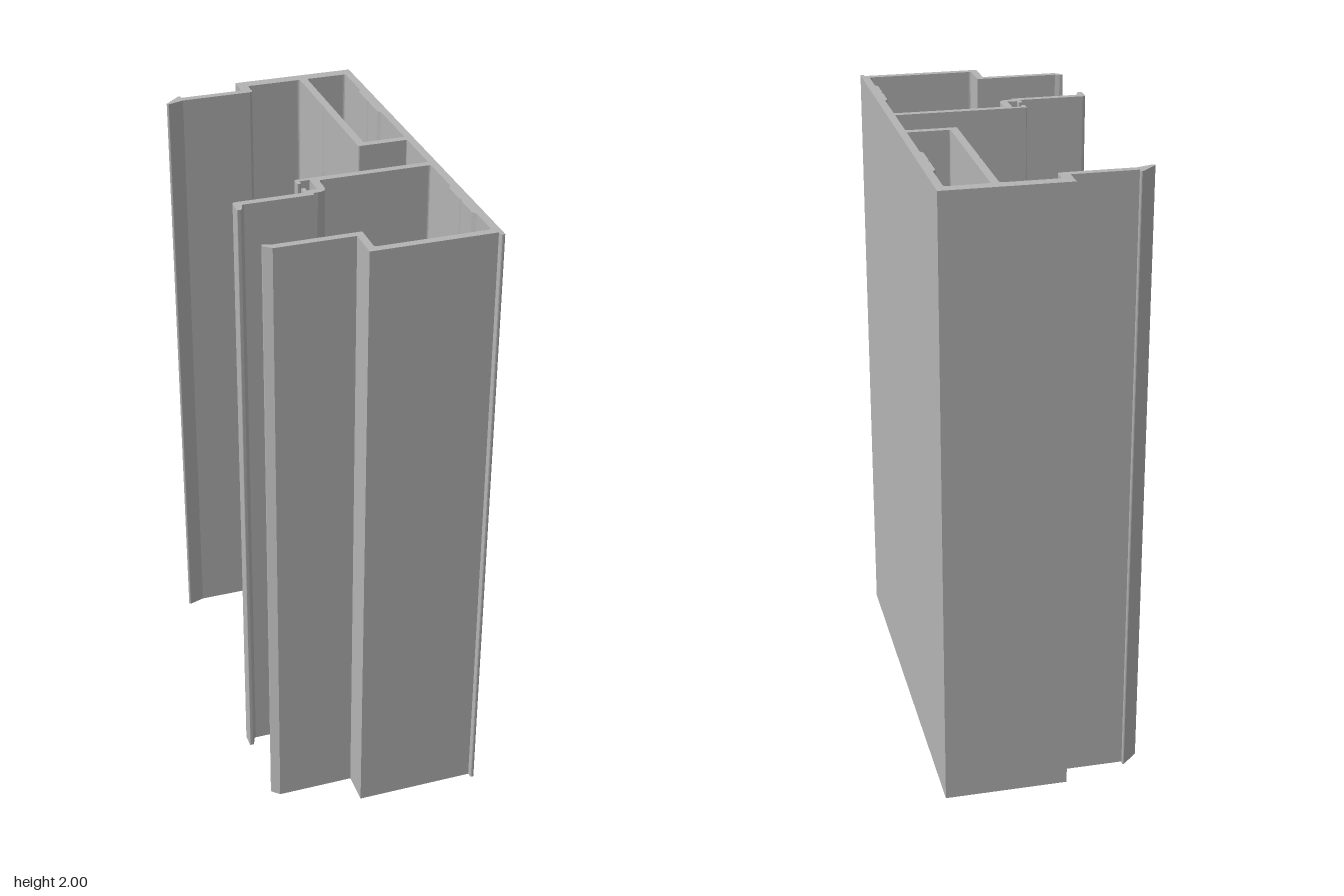
import * as THREE from 'three';

const HEIGHT = 2;

// Traces a closed outline of [x, z, cornerRadius] points into a shape or path (shape y = -z).
function trace(path, points) {
  const n = points.length;
  const at = (i) => new THREE.Vector2(points[(i + n) % n][0], -points[(i + n) % n][1]);
  for (let i = 0; i < n; i++) {
    const p = at(i);
    const r = points[i][2] || 0;
    const a = at(i - 1).sub(p).setLength(r).add(p);
    const b = at(i + 1).sub(p).setLength(r).add(p);
    if (i === 0) path.moveTo(a.x, a.y);
    else path.lineTo(a.x, a.y);
    if (r > 0) path.quadraticCurveTo(p.x, p.y, b.x, b.y);
  }
  path.closePath();
  return path;
}

// Shallow raised pad on the inside of the main wall, running from z0 up to z1, with a small groove.
function pad(z0, z1) {
  const m = (z0 + z1) / 2;
  return [
    [0.307, z0], [0.298, z0 - 0.013], [0.298, m + 0.006], [0.302, m],
    [0.298, m - 0.006], [0.298, z1 + 0.013], [0.307, z1],
  ];
}

export function createModel() {
  const aluminium = new THREE.MeshStandardMaterial({ color: 0xb4b4b4 });

  const outline = [
    // main wall with drip nib
    [0.332, -0.665], [0.332, 0.665, 0.004], [0.321, 0.665, 0.004], [0.319, 0.648],
    // front flange and its lip
    [-0.063, 0.648], [-0.063, 0.545], [-0.308, 0.545], [-0.333, 0.522, 0.003],
    [-0.331, 0.514, 0.003], [-0.32, 0.515], [-0.306, 0.522], [-0.04, 0.522],
    [-0.04, 0.623, 0.01], [0.307, 0.623, 0.01],
    ...pad(0.515, 0.315),
    // underside of the middle web
    [0.307, 0.157, 0.008], [-0.046, 0.157, 0.01], [-0.046, 0.237, 0.03],
    [-0.09, 0.237], [-0.092, 0.249],
    // hooked middle lip
    [-0.308, 0.249, 0.005], [-0.319, 0.281, 0.003], [-0.333, 0.281, 0.003],
    [-0.333, 0.226, 0.012], [-0.115, 0.226],
    // gasket slot
    [-0.115, 0.196, 0.004], [-0.102, 0.196, 0.004], [-0.102, 0.214], [-0.071, 0.214],
    [-0.071, 0.146], [-0.102, 0.146], [-0.102, 0.163, 0.004], [-0.115, 0.163, 0.004],
    // top of the middle web and outside of the hollow chamber
    [-0.115, 0.133, 0.003], [0.307, 0.133, 0.003], [0.307, -0.044, 0.003],
    [0.148, -0.044, 0.006], [0.148, -0.375], [0.152, -0.381], [0.148, -0.387],
    // back flange and barbed lip
    [0.148, -0.626, 0.01], [-0.031, -0.626, 0.01], [-0.031, -0.572, 0.01],
    [-0.266, -0.572], [-0.318, -0.554, 0.003], [-0.324, -0.56, 0.003],
    [-0.27, -0.612, 0.003], [-0.264, -0.609, 0.002], [-0.266, -0.596],
    [-0.063, -0.596], [-0.063, -0.665],
  ];

  // Hollow chamber
  const chamber = [
    [0.173, -0.626, 0.008], [0.173, -0.069, 0.004], [0.307, -0.069, 0.004],
    ...pad(-0.278, -0.48),
    [0.307, -0.626, 0.01],
  ];

  const section = trace(new THREE.Shape(), outline);
  section.holes.push(trace(new THREE.Path(), chamber));

  // Extrude the cross-section upwards
  const geometry = new THREE.ExtrudeGeometry(section, {
    depth: HEIGHT, bevelEnabled: false, curveSegments: 4,
  });
  geometry.rotateX(-Math.PI / 2);

  const profile = new THREE.Mesh(geometry, aluminium);
  profile.name = 'extrudedFrameProfile';
  aluminium.name = 'aluminium grey';

  const model = new THREE.Group();
  model.name = 'frameProfile';
  model.add(profile);
  return model;
}
